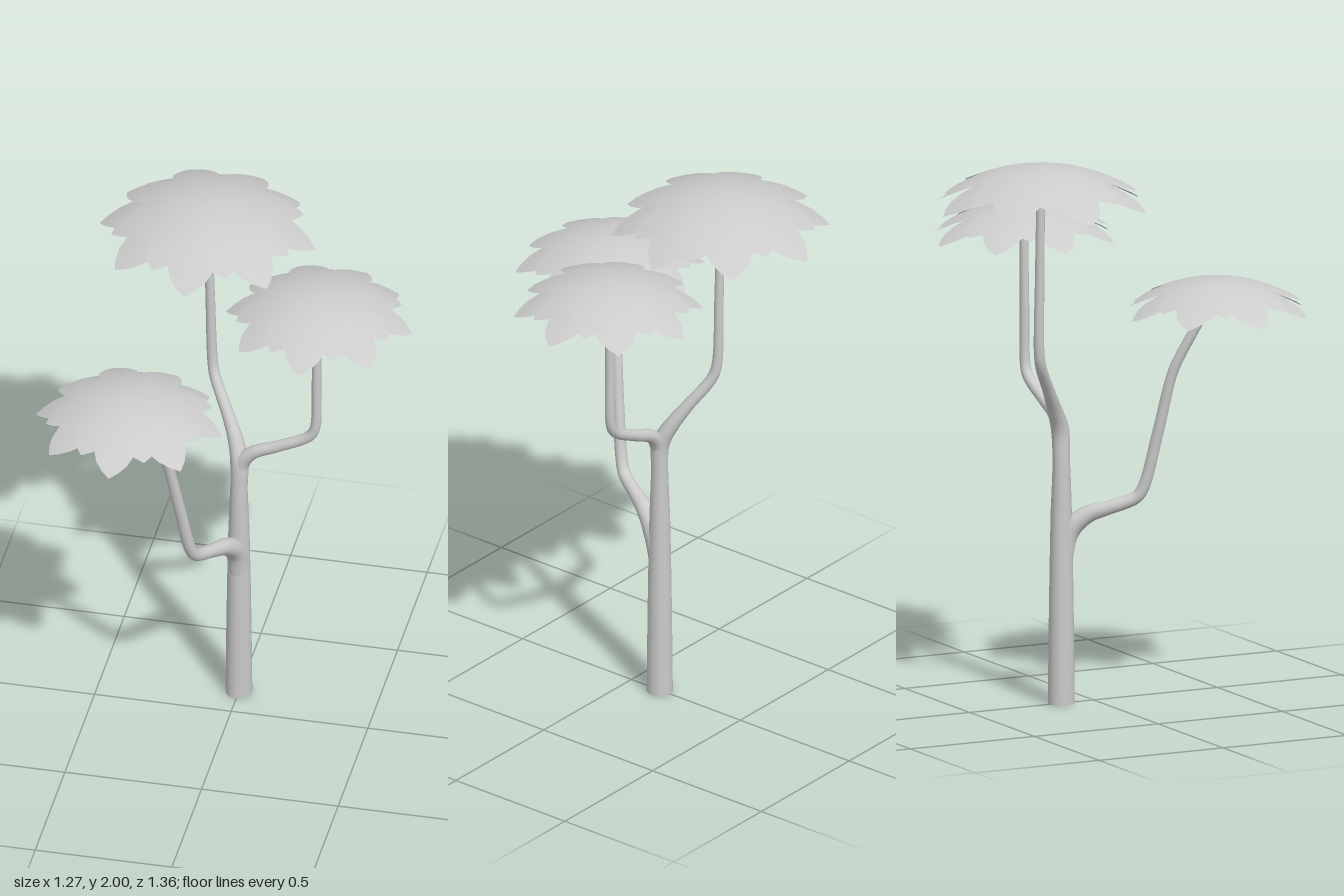
import * as THREE from 'three';

const wood = new THREE.MeshStandardMaterial({ color: 0xcccccc });
const leaf = new THREE.MeshStandardMaterial({ color: 0xcccccc, side: THREE.DoubleSide });

// Tapered tube through points given as [x, y, z, radius]
function limb(name, pts, sides = 14) {
  const curve = new THREE.CatmullRomCurve3(pts.map(p => new THREE.Vector3(p[0], p[1], p[2])), false, 'centripetal');
  const steps = pts.length * 6;
  const geo = new THREE.TubeGeometry(curve, steps, 1, sides, false);
  const pos = geo.attributes.position;
  const v = new THREE.Vector3();
  for (let i = 0; i <= steps; i++) {
    const center = curve.getPointAt(i / steps);
    const t = curve.getUtoTmapping(i / steps) * (pts.length - 1);
    const k = Math.min(Math.floor(t), pts.length - 2);
    const radius = THREE.MathUtils.lerp(pts[k][3], pts[k + 1][3], t - k);
    for (let j = 0; j <= sides; j++) {
      const n = i * (sides + 1) + j;
      v.fromBufferAttribute(pos, n).sub(center).multiplyScalar(radius).add(center);
      pos.setXYZ(n, v.x, v.y, v.z);
    }
  }
  const mesh = new THREE.Mesh(geo, wood);
  mesh.name = name;
  return mesh;
}

// Shallow dome whose rim is cut into eight pointed leaves
function leafLayer(name, { tip, notch, top, drop, turn }) {
  const perLeaf = 8, around = 8 * perLeaf, rings = 8;
  const verts = [], index = [];
  for (let i = 0; i <= rings; i++) {
    for (let j = 0; j <= around; j++) {
      const a = (j / around) * Math.PI * 2;
      // 0 on the leaf's axis, 1 in the notch between leaves
      const s = Math.abs(((j / perLeaf + 0.5) % 1) - 0.5) * 2;
      const rim = tip + (notch - tip) * (0.6 * s + 0.4 * s * s * s);
      const r = rim * i / rings;
      verts.push(r * Math.cos(a + turn), top - drop * Math.pow(r / tip, 2), r * Math.sin(a + turn));
      if (i < rings && j < around) {
        const p = i * (around + 1) + j, q = p + around + 1;
        if (i > 0) index.push(p, p + 1, q);
        index.push(p + 1, q + 1, q);
      }
    }
  }
  const geo = new THREE.BufferGeometry();
  geo.setAttribute('position', new THREE.Float32BufferAttribute(verts, 3));
  geo.setIndex(index);
  geo.computeVertexNormals();
  const mesh = new THREE.Mesh(geo, leaf);
  mesh.name = name;
  return mesh;
}

// Two leaf layers, the lower one wider and turned by half a leaf
function canopy(name, x, y, z, size) {
  const g = new THREE.Group();
  g.name = name;
  g.add(leafLayer('upperLeaves', { tip: 0.35, notch: 0.225, top: 0, drop: 0.1, turn: Math.PI / 8 }));
  g.add(leafLayer('lowerLeaves', { tip: 0.394, notch: 0.235, top: -0.022, drop: 0.13, turn: 0 }));
  g.position.set(x, y, z);
  g.scale.setScalar(size);
  return g;
}

export function createModel() {
  const tree = new THREE.Group();
  tree.name = 'tree';

  // Trunk, running on into the tallest branch
  tree.add(limb('trunk', [
    [0, 0, -0.13, 0.048], [0, 0.3, -0.13, 0.045], [0, 0.55, -0.13, 0.041], [0, 0.7, -0.13, 0.038],
    [0, 0.88, -0.13, 0.031], [0, 1.0, -0.135, 0.033], [-0.02, 1.07, -0.165, 0.028], [-0.06, 1.15, -0.21, 0.022],
    [-0.12, 1.26, -0.275, 0.02], [-0.13, 1.31, -0.287, 0.019], [-0.14, 1.6, -0.29, 0.017], [-0.15, 1.98, -0.29, 0.015],
  ]));
  const base = new THREE.Mesh(new THREE.CircleGeometry(0.048, 14), wood);
  base.name = 'trunkBase';
  base.rotation.x = Math.PI / 2;
  base.position.z = -0.13;
  tree.add(base);

  // Side branches, flared where they leave the trunk
  tree.add(limb('rightBranch', [
    [0.005, 0.92, -0.13, 0.026], [0.012, 1.0, -0.13, 0.03], [0.05, 1.045, -0.13, 0.025], [0.14, 1.085, -0.13, 0.021],
    [0.255, 1.145, -0.13, 0.02], [0.277, 1.18, -0.13, 0.019], [0.284, 1.4, -0.13, 0.017], [0.29, 1.755, -0.13, 0.015],
  ]));
  tree.add(limb('frontBranch', [
    [0, 0.52, -0.125, 0.034], [-0.005, 0.63, -0.1, 0.04], [-0.03, 0.685, -0.04, 0.032], [-0.065, 0.71, 0.03, 0.025],
    [-0.105, 0.745, 0.115, 0.023], [-0.118, 0.78, 0.138, 0.022], [-0.15, 0.98, 0.18, 0.021], [-0.185, 1.19, 0.217, 0.019],
    [-0.2, 1.25, 0.235, 0.019], [-0.25, 1.42, 0.31, 0.017], [-0.282, 1.53, 0.35, 0.015],
  ]));

  tree.add(canopy('topCanopy', -0.15, 2.0, -0.29, 1));
  tree.add(canopy('rightCanopy', 0.293, 1.775, -0.13, 0.865));
  tree.add(canopy('frontCanopy', -0.3, 1.56, 0.34, 0.865));
  return tree;
}
